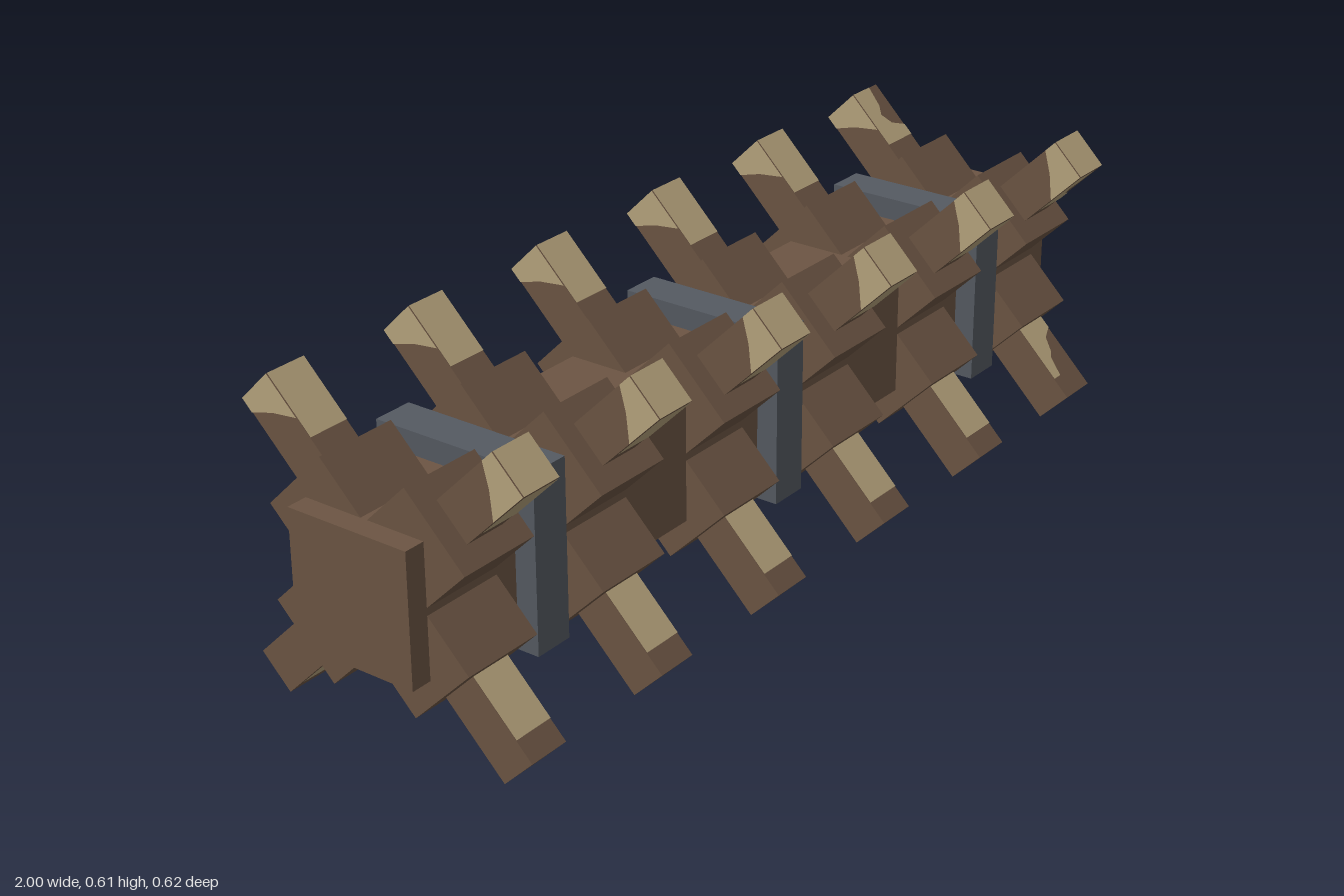
import * as THREE from 'three';

const mat = (name, color) => {
  const m = new THREE.MeshStandardMaterial({ color });
  m.name = name;
  return m;
};

export function createModel() {
  const wood = mat('brown wood', 0x6c5543);
  const bare = mat('bare tan wood', 0xb7a47d);
  const steel = mat('grey steel', 0x555a62);

  const CENTRE_Y = 0.308;
  const SPIKE = 0.087;       // spike thickness
  const REACH = 0.39;        // axis to spike tip
  const H = SPIKE / 2;
  const LIFT = H + 0.0015;   // painted faces sit just above the wood

  const model = new THREE.Group();
  model.name = 'spikedBeam';
  const body = new THREE.Group();
  body.name = 'body';
  body.position.y = CENTRE_Y;
  model.add(body);

  const add = (parent, name, geometry, material) => {
    const mesh = new THREE.Mesh(geometry, material);
    mesh.name = name;
    parent.add(mesh);
    return mesh;
  };
  const box = (parent, name, w, h, d, material) =>
    add(parent, name, new THREE.BoxGeometry(w, h, d), material);
  // Flat painted patch, outlined as (across, along) on a spike face
  const patch = (parent, name, points) => {
    const shape = new THREE.Shape(points.map(([u, r]) => new THREE.Vector2(u, r)));
    return add(parent, name, new THREE.ShapeGeometry(shape), bare);
  };

  // Long square beam and its three steel bands
  box(body, 'beam', 2, 0.259, 0.259, wood);
  for (const x of [-0.695, 0, 0.695]) {
    box(body, 'steelBand', 0.082, 0.348, 0.348, steel).position.x = x;
  }

  // Outlines of the bare wood on the spikes
  const upperPatch = [[-H, 0.26], [H, 0.26], [H, REACH], [-H, REACH]];
  const lowerPatch = [[-H, -0.343], [H, -0.343], [H, -0.2], [-H, -0.2]];
  const wornUpper = [[-H, 0.26], [H, 0.26], [H, 0.285], [0.01, 0.3],
    [-0.005, 0.325], [0.008, 0.345], [0.015, REACH], [-H, REACH]];
  const wornLower = [[-H, -0.343], [-0.02, -0.343], [-0.01, -0.30], [0.002, -0.29],
    [0.015, -0.26], [H, -0.245], [H, -0.2], [-H, -0.2]];
  const sidePatch = [[-H, 0.36], [0, 0.335], [H, 0.3], [H, REACH], [-H, REACH]];

  // Six stations, each with two crossed blocks carrying through-spikes
  const stations = [-0.871, -0.523, -0.175, 0.173, 0.521, 0.869];
  stations.forEach((x, i) => {
    const worn = i === stations.length - 1;
    for (const side of [1, -1]) {
      const cross = new THREE.Group();
      cross.name = 'spikeCross';
      cross.position.x = x;
      cross.rotation.x = side * Math.PI / 4;
      body.add(cross);

      box(cross, 'block', 0.172, 0.434, 0.173, wood);
      box(cross, 'spike', SPIKE, REACH * 2, SPIKE, wood);

      const cap = add(cross, 'spikeTip', new THREE.PlaneGeometry(SPIKE, SPIKE), bare);
      cap.rotation.x = -Math.PI / 2;
      cap.position.y = REACH + 0.0015;

      patch(cross, 'upperBareWood', worn ? wornUpper : upperPatch).position.z = LIFT;
      patch(cross, 'lowerBareWood', worn ? wornLower : lowerPatch).position.z = LIFT;
      const flank = patch(cross, 'sideBareWood', sidePatch);
      flank.rotation.y = -Math.PI / 2;
      flank.position.x = -LIFT;
    }
  });

  return model;
}
